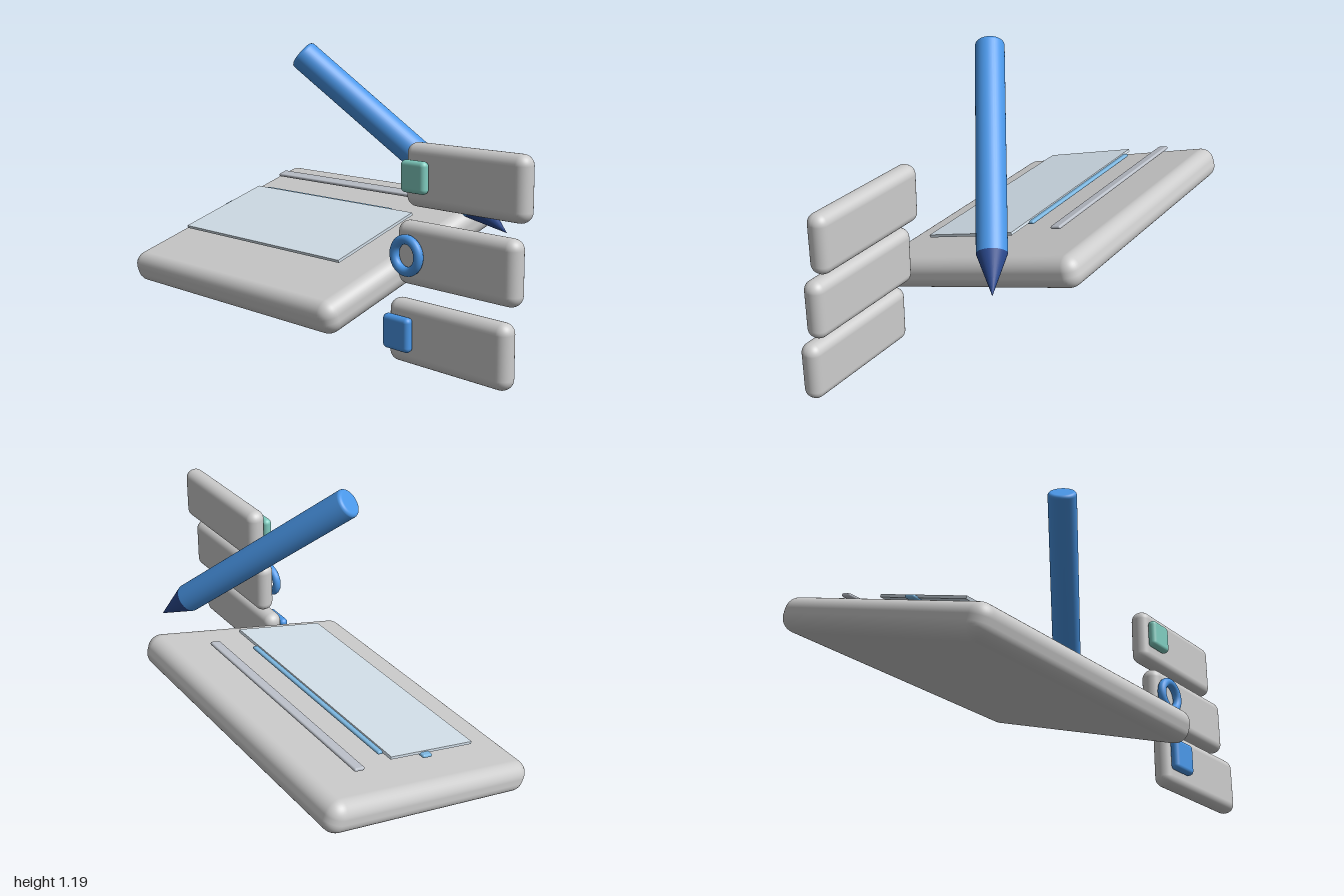
import * as THREE from 'three';
import { RoundedBoxGeometry } from 'three/addons/geometries/RoundedBoxGeometry.js';

const mat = (color) => new THREE.MeshStandardMaterial({ color });
const grey = mat(0xcccccc);
const blue = mat(0x4a97e8);
const navy = mat(0x2b4a90);
const teal = mat(0x80cdc0);
const paleBlue = mat(0xd3e0ea);
const lineBlue = mat(0x7db8e2);
const lineGrey = mat(0xbcc1ca);

function add(parent, name, geometry, material, x, y, z) {
  const mesh = new THREE.Mesh(geometry, material);
  mesh.name = name;
  mesh.position.set(x, y, z);
  parent.add(mesh);
  return mesh;
}

const rounded = (w, h, d, r) => new RoundedBoxGeometry(w, h, d, 5, r);

// Sloping tablet with floating lines and a thin sheet above it
function createTablet() {
  const tablet = new THREE.Group();
  tablet.name = 'tablet';
  add(tablet, 'tabletBody', rounded(1.315, 0.138, 1.06, 0.058), grey, 0, 0, 0);
  add(tablet, 'sheet', new THREE.BoxGeometry(1.01, 0.012, 0.445), paleBlue, 0, 0.121, 0.06);

  // Evenly spaced lines: left end, right end, depth position
  const lines = [
    [-0.87, 0.095, -0.335, lineGrey],
    [-0.8, 0.03, -0.158, lineBlue],
    [-0.87, 0.0, 0.018, lineBlue],
    [-0.8, -0.1, 0.194, lineBlue],
  ];
  lines.forEach(([x0, x1, z, material], i) => {
    add(tablet, `line${i + 1}`, rounded(x1 - x0, 0.015, 0.048, 0.007), material,
      (x0 + x1) / 2 + 0.3425, 0.114, z);
  });

  tablet.position.set(-0.3425, 0.3115, 0);
  tablet.rotation.x = THREE.MathUtils.degToRad(18);
  return tablet;
}

// Slanted pen, built along y with its point at the origin
function createPen() {
  const pen = new THREE.Group();
  pen.name = 'pen';
  const tip = new THREE.Vector3(0.537, 0.425, -0.28);
  const end = new THREE.Vector3(-0.16, 1.145, 0.207);
  const axis = end.clone().sub(tip);
  const length = axis.length();
  const r = 0.062, bevel = 0.016, cone = 0.172;

  const profile = [new THREE.Vector2(0, cone), new THREE.Vector2(r, cone), new THREE.Vector2(r, length - bevel)];
  for (let i = 1; i <= 6; i++) {
    const a = (i / 6) * Math.PI / 2;
    profile.push(new THREE.Vector2(r - bevel + bevel * Math.cos(a), length - bevel + bevel * Math.sin(a)));
  }
  profile.push(new THREE.Vector2(0, length));
  add(pen, 'penBarrel', new THREE.LatheGeometry(profile, 40), blue, 0, 0, 0);

  const point = add(pen, 'penPoint', new THREE.ConeGeometry(r, cone, 40), navy, 0, cone / 2, 0);
  point.rotation.x = Math.PI;

  pen.position.copy(tip);
  pen.quaternion.setFromUnitVectors(new THREE.Vector3(0, 1, 0), axis.normalize());
  return pen;
}

// Three stepped cards, each with its own marker on the front
function createCards() {
  const cards = new THREE.Group();
  cards.name = 'cards';
  const rows = [
    ['upper', 0.707, 0.177],
    ['middle', 0.415, 0.222],
    ['lower', 0.123, 0.266],
  ];
  for (const [name, y, z] of rows) {
    add(cards, `${name}Card`, rounded(0.57, 0.245, 0.086, 0.041), grey, 0.715, y, z);
  }
  add(cards, 'upperMarker', rounded(0.124, 0.124, 0.041, 0.0195), teal, 0.508, 0.707, 0.24);
  add(cards, 'middleRing', new THREE.TorusGeometry(0.0615, 0.0188, 16, 48), blue, 0.508, 0.415, 0.283);
  add(cards, 'lowerMarker', rounded(0.134, 0.134, 0.041, 0.0195), blue, 0.508, 0.127, 0.328);
  return cards;
}

export function createModel() {
  const model = new THREE.Group();
  model.name = 'tabletWithPenAndCards';
  model.add(createTablet(), createPen(), createCards());
  return model;
}
